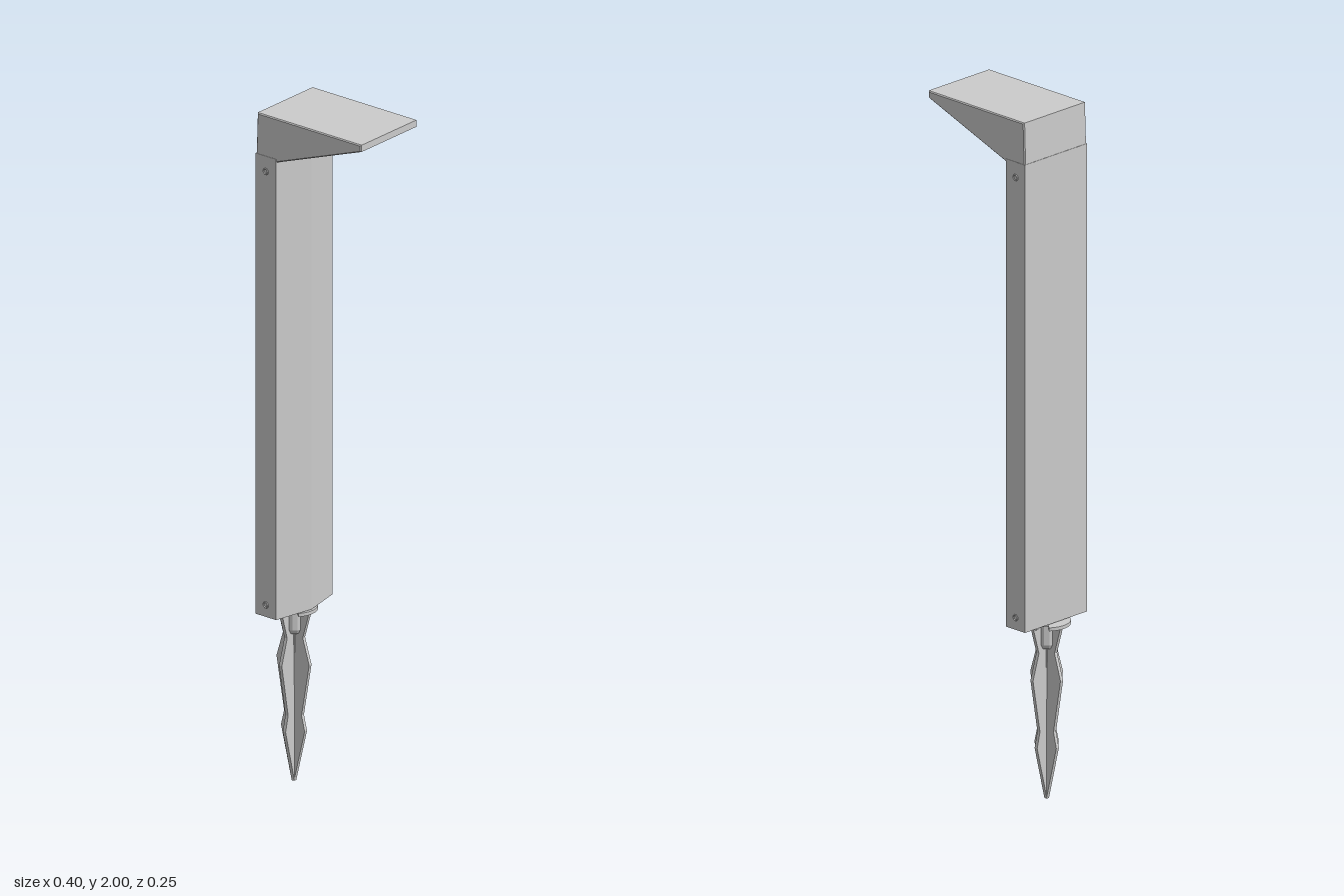
import * as THREE from 'three';

const material = new THREE.MeshStandardMaterial({ color: 0xcccccc, flatShading: true });
const AXIS_X = -0.137; // vertical axis of the ground stake

const polygon = (points) => new THREE.Shape(points.map(([x, y]) => new THREE.Vector2(x, y)));

function add(parent, name, geometry, x = 0, y = 0, z = 0) {
  const mesh = new THREE.Mesh(geometry, material);
  mesh.name = name;
  mesh.position.set(x, y, z);
  parent.add(mesh);
  return mesh;
}

// Extrudes a plan shape (x, -z) upwards
function extrudeUp(shape, height) {
  return new THREE.ExtrudeGeometry(shape, { depth: height, bevelEnabled: false, curveSegments: 10 })
    .rotateX(-Math.PI / 2);
}

// Plan of the post: flat back, short sides and a shallow pointed front
const postPlan = (t) => [
  [-0.173 + t, -0.121 + t], [-0.1 - t, -0.121 + t], [-0.075 - t, 0],
  [-0.1 - t, 0.121 - t], [-0.173 + t, 0.121 - t],
];

function buildPost() {
  const post = new THREE.Group();
  post.name = 'post';
  const wall = polygon(postPlan(0));
  wall.holes.push(polygon(postPlan(0.007)));
  add(post, 'postShell', extrudeUp(wall, 1.36), 0, 0.52);
  add(post, 'basePlate', extrudeUp(polygon(postPlan(0.006)), 0.012), 0, 0.54);

  for (const side of [-1, 1]) {
    // Hollow fixing bosses under the base plate
    const boss = new THREE.Shape().absarc(0, 0, 0.018, 0, Math.PI * 2);
    boss.holes.push(new THREE.Path().absarc(0, 0, 0.01, 0, Math.PI * 2));
    add(post, 'fixingBoss', extrudeUp(boss, 0.022), AXIS_X, 0.521, side * 0.088);
    // Screws on the narrow sides
    for (const y of [0.555, 1.835]) {
      add(post, 'screwRim', new THREE.TorusGeometry(0.008, 0.002, 4, 10), AXIS_X, y, side * 0.121);
      const head = new THREE.CylinderGeometry(0.005, 0.005, 0.002, 6).rotateX(Math.PI / 2);
      add(post, 'screwHead', head, AXIS_X, y, side * 0.121);
    }
  }
  return post;
}

function buildHead() {
  const head = new THREE.Group();
  head.name = 'lampHead';
  // Wedge-shaped hood with slightly eased edges
  const bevel = 0.003;
  const profile = polygon([[-0.172, 1.875], [-0.1, 1.87], [0.2, 1.98], [0.2, 2], [-0.168, 2]]);
  const hood = new THREE.ExtrudeGeometry(profile, {
    depth: 0.24 - 2 * bevel, bevelThickness: bevel, bevelSize: bevel,
    bevelOffset: -bevel, bevelSegments: 1,
  });
  add(head, 'hood', hood, 0, 0, -0.12 + bevel);
  // Light panel on the sloping underside
  const panel = add(head, 'lightPanel', new THREE.BoxGeometry(0.25, 0.006, 0.2), 0.057, 1.9293, 0);
  panel.rotation.z = Math.atan2(0.11, 0.3);
  return head;
}

function buildStake() {
  const stake = new THREE.Group();
  stake.name = 'groundStake';
  stake.position.x = AXIS_X;

  // Two crossed blades with a wavy outline
  const outline = [[0.004, 0], [0.042, 0.155], [0.031, 0.2], [0.058, 0.355], [0.035, 0.43], [0.058, 0.51]];
  const mirrored = outline.map(([x, y]) => [-x, y]).reverse();
  const thickness = 0.01;
  const blade = new THREE.ExtrudeGeometry(polygon([...outline, ...mirrored]),
    { depth: thickness, bevelEnabled: false }).translate(0, 0, -thickness / 2);
  for (const turn of [0, Math.PI / 2]) add(stake, 'blade', blade).rotation.y = turn;

  // Central spine and socket
  add(stake, 'spine', new THREE.CylinderGeometry(0.011, 0.002, 0.5, 8), 0, 0.25);
  const socket = [[0, 0.44], [0.022, 0.44], [0.028, 0.452], [0.028, 0.512]]
    .map(([r, y]) => new THREE.Vector2(r, y));
  add(stake, 'socket', new THREE.LatheGeometry(socket, 12));
  add(stake, 'lockingNeck', new THREE.CylinderGeometry(0.03, 0.03, 0.032, 16), 0, 0.528);

  // Mounting flange with two radial notches
  const flange = new THREE.Shape();
  const deg = Math.PI / 180;
  for (const start of [140, 320]) {
    flange.absarc(0, 0, 0.066, start * deg, (start + 150) * deg, false);
    flange.absarc(0, 0, 0.032, (start + 150) * deg, (start + 180) * deg, false);
  }
  add(stake, 'flange', extrudeUp(flange, 0.01), 0, 0.508);
  return stake;
}

export function createModel() {
  const model = new THREE.Group();
  model.name = 'pathLight';
  model.add(buildPost(), buildHead(), buildStake());
  return model;
}
